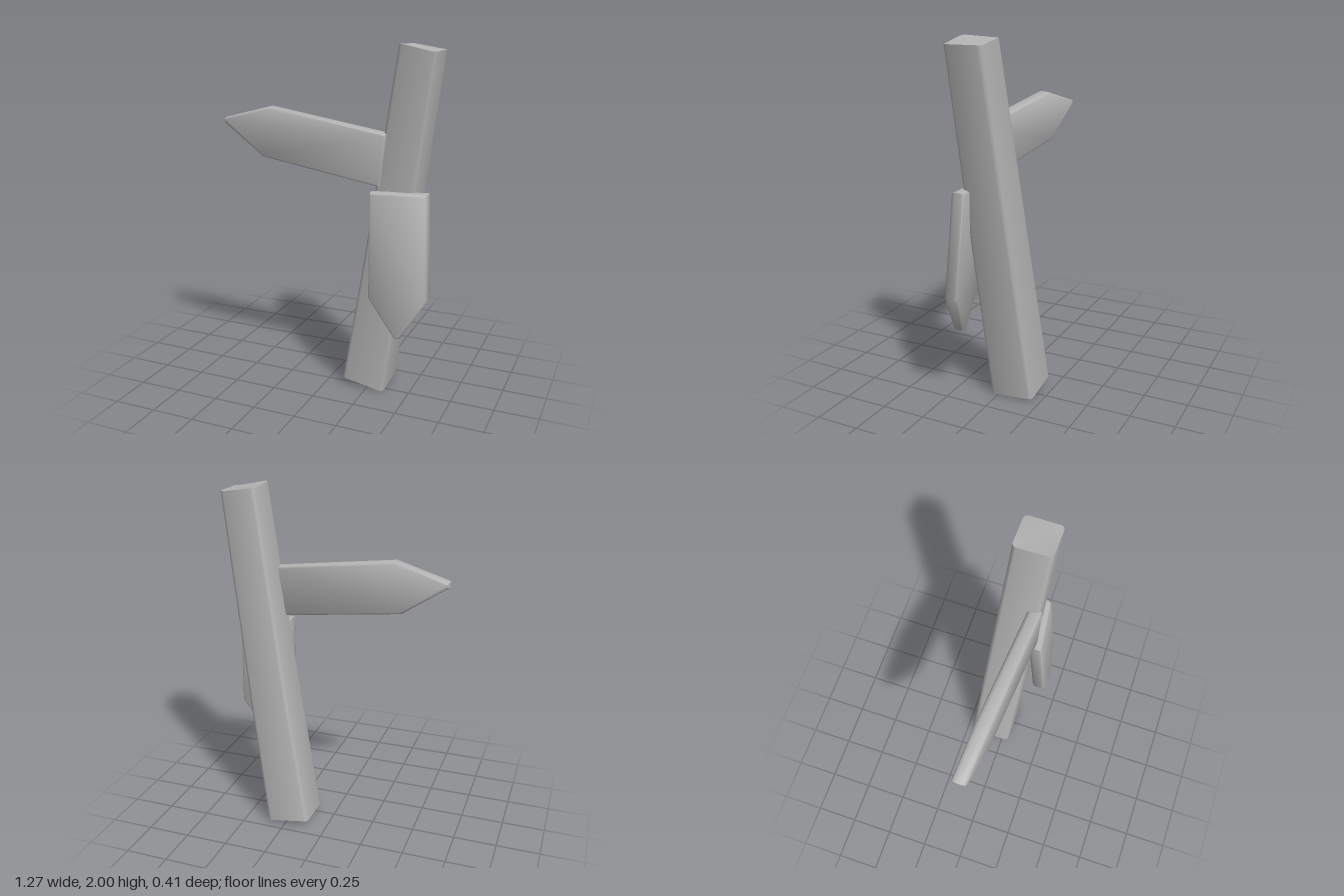
import * as THREE from 'three';
import { toCreasedNormals } from 'three/addons/utils/BufferGeometryUtils.js';

const CREASE = 0.85;

// Rounded rectangle ring; corner heights y run front-left, front-right, back-right, back-left
function ring({ x0, x1, z0, z1, y }, r = 0.022) {
  const corners = [[x0 + r, z1 - r], [x1 - r, z1 - r], [x1 - r, z0 + r], [x0 + r, z0 + r]];
  const points = [];
  corners.forEach(([cx, cz], i) => {
    for (let k = 0; k < 3; k++) {
      const a = Math.PI - (i + k / 2) * Math.PI / 2;
      points.push([cx + r * Math.cos(a), y[i], cz + r * Math.sin(a)]);
    }
  });
  return points;
}

// Closed loft through the rings, bottom to top
function loft(rings) {
  const n = rings[0].length;
  const positions = rings.flat(2);
  const index = [];
  for (let j = 0; j < rings.length - 1; j++) {
    for (let i = 0; i < n; i++) {
      const a = j * n + i, b = j * n + (i + 1) % n;
      index.push(a, b, b + n, a, b + n, a + n);
    }
  }
  const cap = (start, flip) => {
    const pts = rings[start / n];
    const centre = positions.length / 3;
    for (let k = 0; k < 3; k++) positions.push(pts.reduce((s, p) => s + p[k], 0) / n);
    for (let i = 0; i < n; i++) {
      const a = start + i, b = start + (i + 1) % n;
      index.push(centre, flip ? b : a, flip ? a : b);
    }
  };
  cap(0, true);
  cap((rings.length - 1) * n, false);
  const geometry = new THREE.BufferGeometry();
  geometry.setAttribute('position', new THREE.Float32BufferAttribute(positions, 3));
  geometry.setIndex(index);
  return toCreasedNormals(geometry, CREASE);
}

// Pointed board with softened edges; frontZ(x, y) places its front face
function board(outline, thickness, frontZ) {
  const shape = new THREE.Shape(outline.map(([x, y]) => new THREE.Vector2(x, y)));
  const bevel = 0.022;
  const geometry = new THREE.ExtrudeGeometry(shape, {
    depth: thickness - 2 * bevel, bevelThickness: bevel,
    bevelSize: 0.014, bevelOffset: -0.014, bevelSegments: 2,
  });
  geometry.translate(0, 0, bevel - thickness);
  const p = geometry.attributes.position;
  for (let i = 0; i < p.count; i++) p.setZ(i, p.getZ(i) + frontZ(p.getX(i), p.getY(i)));
  return toCreasedNormals(geometry, CREASE);
}

export function createModel() {
  const group = new THREE.Group();
  group.name = 'signpost';
  const wood = new THREE.MeshStandardMaterial({ color: 0xb4b4b4 });
  wood.name = 'plain grey';
  const add = (name, geometry) => {
    const mesh = new THREE.Mesh(geometry, wood);
    mesh.name = name;
    group.add(mesh);
  };

  // Leaning, tapering post
  add('post', loft([
    { x0: 0.10, x1: 0.355, z0: -0.207, z1: 0.043, y: [0.04, 0.0, 0.015, 0.05] },
    { x0: 0.225, x1: 0.457, z0: -0.163, z1: 0.078, y: [0.74, 0.7, 0.7, 0.74] },
    { x0: 0.43, x1: 0.635, z0: -0.075, z1: 0.135, y: [2.0, 1.967, 1.967, 1.992] },
  ].map((level) => ring(level))));

  // Board pointing sideways, curving gently back toward its tip
  add('sideSign', board([
    [0.375, 1.535], [-0.335, 1.635], [-0.64, 1.552], [-0.64, 1.525], [-0.38, 1.345], [0.335, 1.245],
  ].reverse(), 0.08, (x) => 0.11 + 0.06 * x - 0.025 * x * x));

  // Fallen board hanging point down across the front
  add('hangingSign', board([
    [0.295, 1.22], [0.31, 0.64], [0.465, 0.42], [0.495, 0.42], [0.635, 0.65], [0.605, 1.23],
  ], 0.075, (x, y) => 0.207 - 0.12 * (x - 0.3) - 0.078 * (y - 0.64)));

  return group;
}
